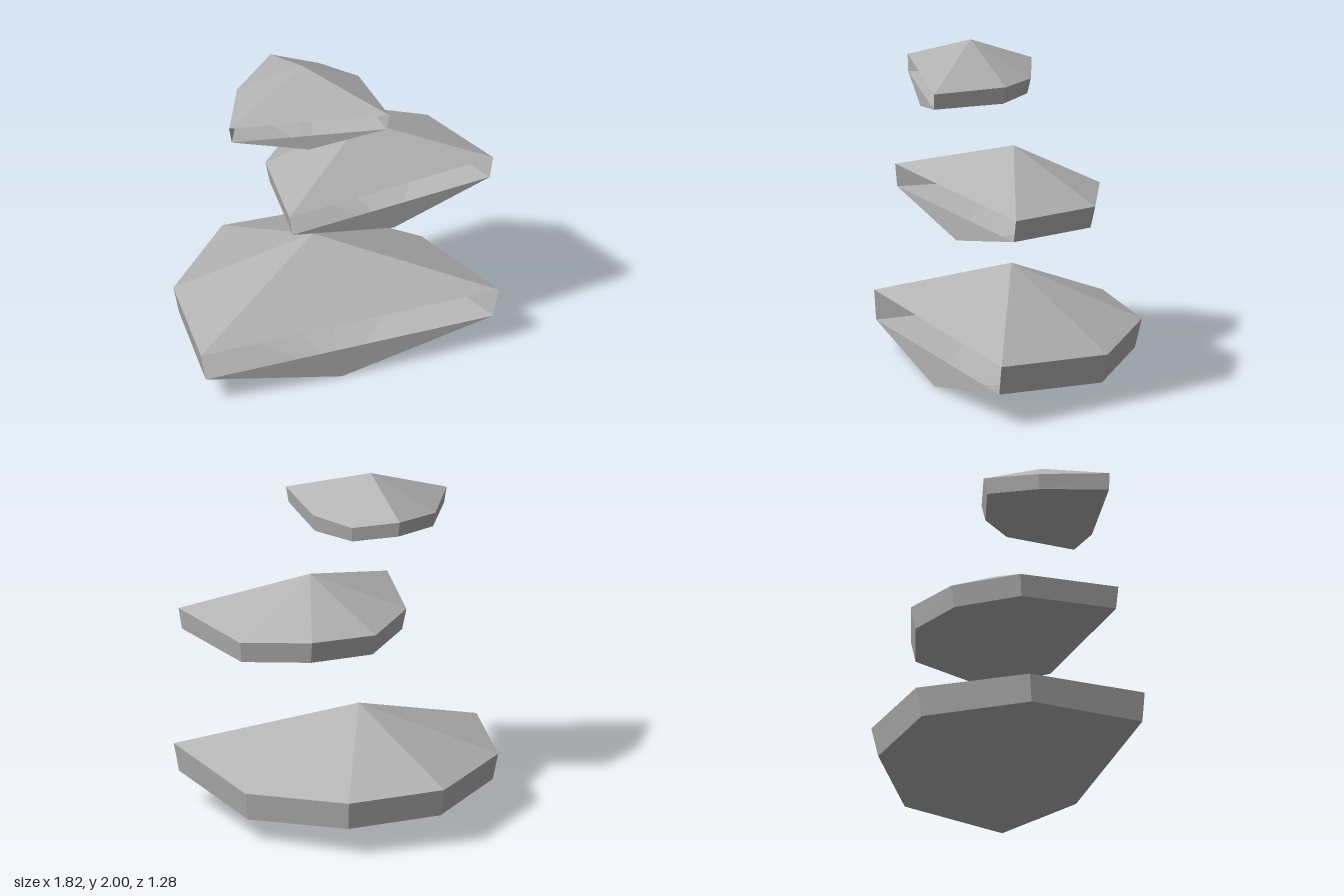
import * as THREE from 'three';

const stone = new THREE.MeshStandardMaterial({ color: 0xb3b3b3, flatShading: true, side: THREE.DoubleSide });
stone.name = 'paleGrey';

// Each shell: upper peak, lower tip and a rim from the left front corner
// around the back to the right front corner. Rim entries: x, z, top y, bottom y.
const SHELLS = [
  {
    name: 'lowerShell', peak: [-0.05, 0.685, 0.05], tip: [-0.05, 0.005, 0.53],
    rim: [
      [-0.91, 0.53, 0.35, 0.18], [-0.82, -0.16, 0.36, 0.2], [-0.34, -0.645, 0.367, 0.2],
      [0.23, -0.64, 0.347, 0.178], [0.715, -0.215, 0.312, 0.142], [0.905, 0.53, 0.375, 0.203],
    ],
  },
  {
    name: 'middleShell', peak: [0.21, 1.465, 0.15], tip: [0.265, 0.957, 0.53],
    rim: [
      [-0.405, 0.62, 1.245, 1.117], [-0.33, 0.03, 1.232, 1.105], [-0.05, -0.27, 1.21, 1.085],
      [0.35, -0.325, 1.227, 1.097], [0.72, -0.135, 1.203, 1.077], [0.905, 0.44, 1.232, 1.103],
    ],
  },
  {
    name: 'upperShell', peak: [-0.185, 2.0, 0.245], tip: [-0.25, 1.62, 0.53],
    rim: [
      [-0.695, 0.415, 1.797, 1.7], [-0.51, 0.05, 1.79, 1.703], [-0.23, -0.155, 1.835, 1.742],
      [0.02, -0.04, 1.79, 1.7], [0.18, 0.185, 1.805, 1.705], [0.197, 0.64, 1.82, 1.725],
    ],
  },
];

const INSET = 0.966; // the lower rim is slightly smaller than the upper one

function meshFrom(name, triangles) {
  const geometry = new THREE.BufferGeometry();
  geometry.setAttribute('position', new THREE.Float32BufferAttribute(triangles.flat(2), 3));
  geometry.computeVertexNormals();
  const mesh = new THREE.Mesh(geometry, stone);
  mesh.name = name;
  return mesh;
}

function makeShell({ name, peak, tip, rim }) {
  const top = rim.map(([x, z, y]) => [x, y, z]);
  const bottom = rim.map(([x, z, , y]) => [
    tip[0] + (x - tip[0]) * INSET, y, tip[2] + (z - tip[2]) * INSET,
  ]);
  const roof = [], wall = [], base = [];
  for (let i = 0; i < rim.length; i++) {
    const j = (i + 1) % rim.length;
    // closed fans above and below
    roof.push([peak, top[j], top[i]]);
    base.push([tip, bottom[i], bottom[j]]);
    // side band, left open across the front
    if (j > 0) {
      wall.push([bottom[j], bottom[i], top[i]], [bottom[j], top[i], top[j]]);
    }
  }
  const shell = new THREE.Group();
  shell.name = name;
  shell.add(meshFrom('roof', roof), meshFrom('sideBand', wall), meshFrom('base', base));
  return shell;
}

export function createModel() {
  const model = new THREE.Group();
  model.name = 'stackedShells';
  SHELLS.forEach((shell) => model.add(makeShell(shell)));
  return model;
}
